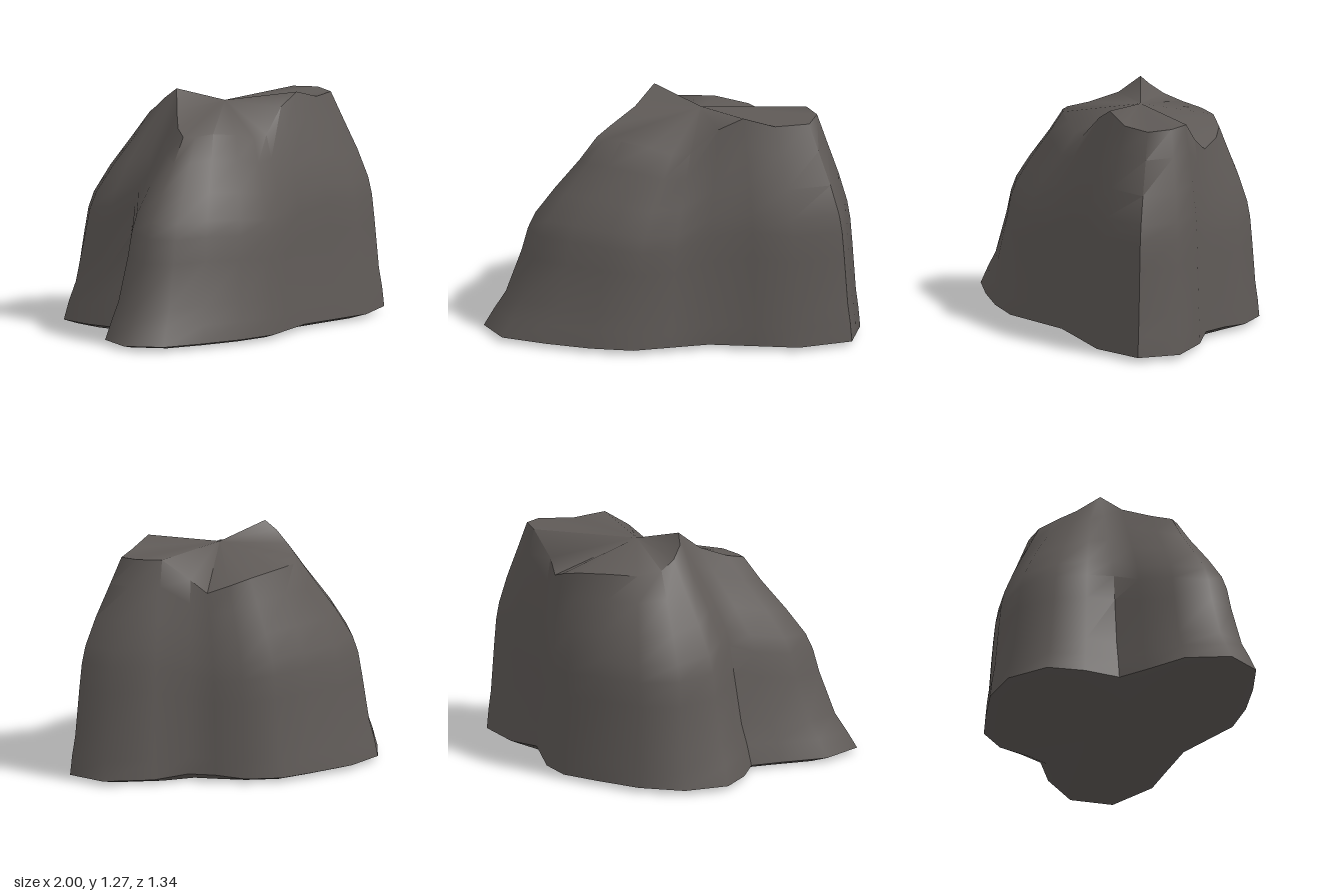
import * as THREE from 'three';
import { toCreasedNormals } from 'three/addons/utils/BufferGeometryUtils.js';

// Foot outline [x, z], from the left tip round by the front
const FOOT = [
  [-1, 0.29], [-0.9, 0.48], [-0.67, 0.57], [-0.43, 0.64], [-0.2, 0.67], [0, 0.62],
  [0.2, 0.57], [0.45, 0.59], [0.68, 0.61], [0.96, 0.51], [1, 0.28], [0.83, 0.07],
  [0.67, -0.05], [0.62, -0.19], [0.56, -0.34], [0.44, -0.49], [0.25, -0.57], [0, -0.66],
  [-0.25, -0.67], [-0.46, -0.54], [-0.51, -0.34], [-0.51, -0.14], [-0.66, -0.05], [-0.88, 0.07],
];
// Matching broken rim [x, y, z]
const RIM = [
  [-0.4, 1.07, 0.22], [-0.36, 1.07, 0.27], [-0.27, 1.08, 0.32], [-0.12, 1.06, 0.36],
  [0, 1.03, 0.385], [0.1, 1.04, 0.39], [0.25, 1.17, 0.37], [0.38, 1.235, 0.375],
  [0.55, 1.19, 0.375], [0.73, 1.19, 0.33], [0.77, 1.2, 0.21], [0.71, 1.2, 0.09],
  [0.6, 1.08, -0.02], [0.56, 1.01, -0.1], [0.5, 1.05, -0.2], [0.4, 1.08, -0.27],
  [0.22, 1.1, -0.33], [0.07, 1.1, -0.34], [-0.05, 1.12, -0.28], [-0.1, 1.16, -0.2],
  [-0.12, 1.22, -0.12], [-0.1, 1.27, -0.06], [-0.2, 1.17, 0.02], [-0.33, 1.1, 0.13],
];
// Wall profile: [height fraction, inward fraction]
const PROFILE = [[0, 0], [0.09, 0.04], [0.18, 0.1], [0.4, 0.18], [0.52, 0.23], [0.6, 0.3], [0.73, 0.5], [0.88, 0.78], [1, 1]];
const HOLLOW = [0.15, 0.07]; // centre of the dip in the crown

export function createModel() {
  const stone = new THREE.MeshStandardMaterial({ color: 0x5f5a57 });
  stone.name = 'dark grey stone';

  const n = FOOT.length;
  const points = [];
  const index = [];

  // Slightly tucked-in underside ring
  FOOT.forEach(([x, z]) => points.push(x * 0.9, 0.005, z * 0.9));

  // Wall rings, rising from the foot to the rim; the left spur leans in sooner
  for (const [h, inward] of PROFILE) {
    FOOT.forEach(([fx, fz], i) => {
      const [rx, ry, rz] = RIM[i];
      const lean = THREE.MathUtils.clamp(-fx - 0.2, 0, 0.8) * 0.8 * h * (1 - h);
      const t = inward + lean;
      const y0 = 0.025 + (i === 12 || i === 13 ? 0.015 : 0);
      points.push(fx + (rx - fx) * t, y0 + (ry - y0) * h, fz + (rz - fz) * t);
    });
  }
  for (let r = 0; r < PROFILE.length; r++) {
    for (let i = 0; i < n; i++) {
      const j = (i + 1) % n;
      const a = r * n + i, b = r * n + j;
      index.push(a, b, b + n, a, b + n, a + n);
    }
  }

  // Crown falling to the hollow, and the flat underside
  const top = points.length / 3;
  points.push(HOLLOW[0], 1.19, HOLLOW[1], 0, 0, 0.05);
  const rim = PROFILE.length * n;
  for (let i = 0; i < n; i++) {
    const j = (i + 1) % n;
    index.push(rim + i, rim + j, top);
    index.push(j, i, top + 1);
  }

  const geometry = new THREE.BufferGeometry();
  geometry.setAttribute('position', new THREE.Float32BufferAttribute(points, 3));
  geometry.setIndex(index);

  const rock = new THREE.Mesh(toCreasedNormals(geometry, 0.9), stone);
  rock.name = 'rock';
  const group = new THREE.Group();
  group.name = 'boulder';
  group.add(rock);
  return group;
}
